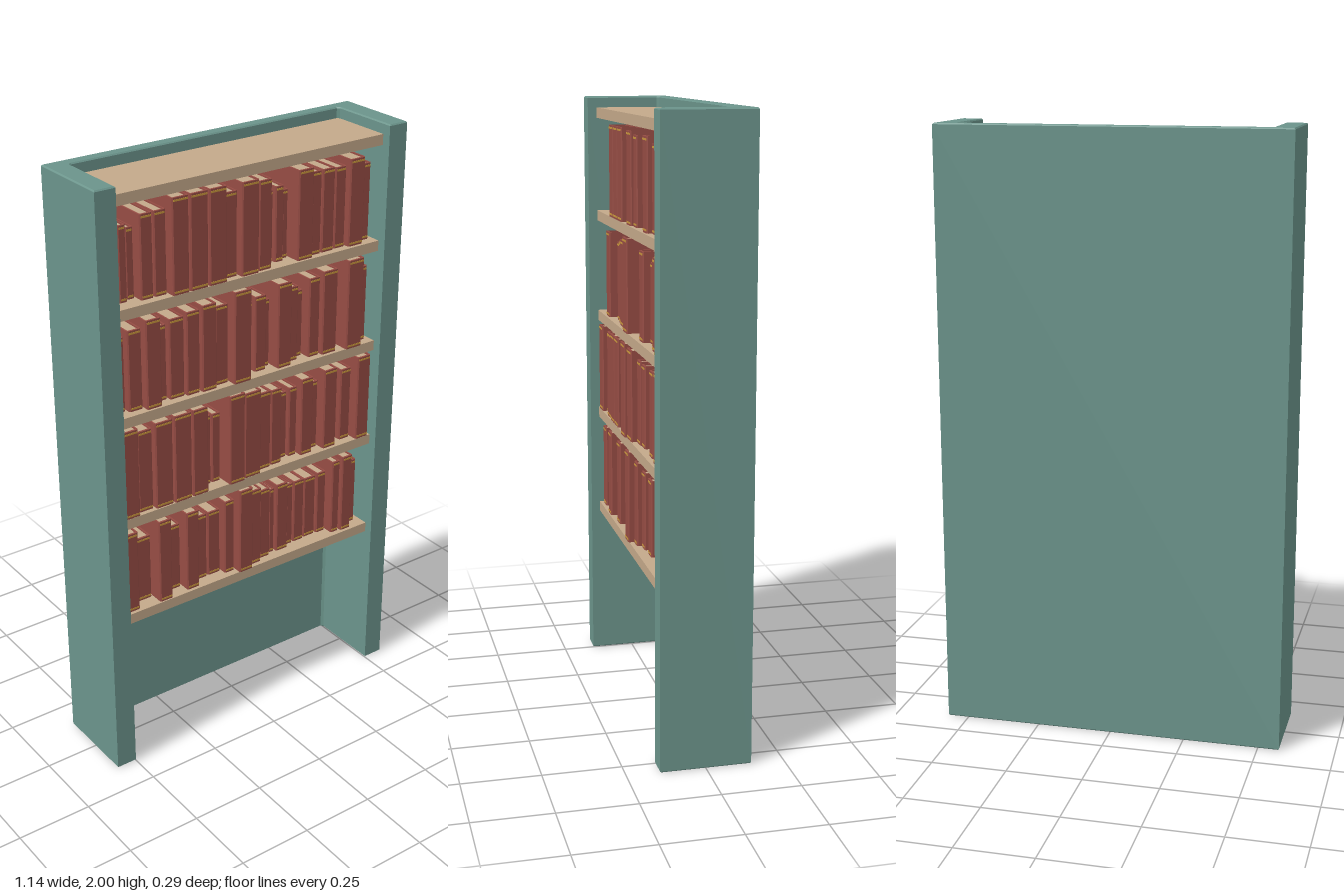
import * as THREE from 'three';

const paint = (color) => new THREE.MeshStandardMaterial({ color, flatShading: true });
const green = paint(0x6b948b), tan = paint(0xc4a98a), red = paint(0x964c44), gold = paint(0xc8963c);

// Upright U-shaped channel, closed at -z and open towards +z
function channel(w, d, h, side, closed, inner, outer, bevel) {
  const x = w / 2 - bevel, z = d / 2 - bevel, xi = w / 2 - side + bevel, zi = d / 2 - closed + bevel;
  const shape = new THREE.Shape([
    [-x, -z], [-xi, -z], [-xi, zi - inner], [-xi + inner, zi], [xi - inner, zi], [xi, zi - inner],
    [xi, -z], [x, -z], [x, z - outer], [x - outer, z], [-x + outer, z], [-x, z - outer],
  ].map(([a, b]) => new THREE.Vector2(a, b)));
  const geo = new THREE.ExtrudeGeometry(shape, {
    depth: h - 2 * bevel, bevelEnabled: bevel > 0, bevelSize: bevel, bevelThickness: bevel, bevelSegments: 1,
  });
  return geo.translate(0, 0, bevel).rotateX(-Math.PI / 2);
}

function add(parent, name, geo, material, x = 0, y = 0, z = 0) {
  const mesh = new THREE.Mesh(geo, material);
  mesh.name = name;
  mesh.position.set(x, y, z);
  parent.add(mesh);
  return mesh;
}

// Book standing with its spine to the front: cover, page block and two gilt bands
function makeBook(w, h) {
  const book = new THREE.Group(), d = h * 0.71, t = Math.min(0.005, w * 0.15);
  book.name = 'book';
  add(book, 'cover', channel(w, d, h, t, 0.007, 0, 0.004, 0), red).rotation.y = Math.PI;
  add(book, 'pages', new THREE.BoxGeometry(w - 2 * t, h - 0.01, d - 0.012), tan, 0, h / 2, -0.001);
  for (const y of [0.009, h - 0.009]) {
    add(book, 'spineBand', new THREE.BoxGeometry(w - 0.008, 0.006, 0.002), gold, 0, y, d / 2);
  }
  return book;
}

// Book widths and heights per shelf, bottom to top, in steps of 0.0053
const UNIT = 0.0053;
const row1 = {
  start: -0.485,
  widths: [10, 13, 10, 11, 10, 10, 10, 8, 11, 9, 9, 5, 10, 6, 9, 10, 8, 7, 9, 8],
  heights: [54, 44, 56, 45, 54, 45, 45, 51, 58, 53, 49, 46, 48, 44, 44, 43, 44, 52, 54, 46],
};
const row2 = {
  start: -0.49,
  widths: [12, 11, 13, 13, 12, 7, 7, 12, 13, 10, 9, 7, 7, 10, 7, 11, 5, 9, 11],
  heights: [57, 53, 56, 57, 57, 46, 46, 59, 57, 52, 51, 45, 47, 52, 46, 54, 43, 49, 57],
};
const row3 = {
  start: -0.48,
  widths: [7, 10, 11, 7, 11, 10, 11, 10, 13, 7, 9, 5, 11, 8, 6, 9, 12, 5, 13, 8],
  heights: [46, 50, 55, 47, 50, 52, 54, 50, 58, 45, 48, 43, 54, 48, 43, 51, 54, 43, 58, 49],
};
const row4 = {
  start: -0.49,
  widths: [7, 6, 6, 9, 9, 12, 13, 13, 10, 13, 10, 6, 7, 5, 12, 8, 10, 9, 12, 8],
  heights: [46, 45, 42, 50, 50, 57, 57, 57, 51, 56, 54, 44, 46, 42, 55, 51, 51, 50, 54, 48],
};

export function createModel() {
  const model = new THREE.Group();
  model.name = 'bookcase';

  // Back and side walls in one piece
  add(model, 'caseWalls', channel(1.14, 0.29, 2, 0.07, 0.04, 0.01, 0, 0.004), green);

  // Shelves, the top one closing the case
  const shelfTop = (i) => 0.56 + i * 0.351;
  const board = new THREE.Shape([
    [-0.5, -0.115], [0.5, -0.115], [0.5, 0.097], [0.492, 0.105], [-0.492, 0.105], [-0.5, 0.097],
  ].map(([x, y]) => new THREE.Vector2(x, y)));
  const shelfGeo = new THREE.ExtrudeGeometry(board, { depth: 0.035, bevelEnabled: false }).rotateX(-Math.PI / 2);
  for (let i = 0; i < 5; i++) add(model, 'shelf', shelfGeo, tan, 0, shelfTop(i) - 0.035, 0);

  // Books pushed against the back wall
  [row1, row2, row3, row4].forEach(({ start, widths, heights }, i) => {
    const row = new THREE.Group();
    row.name = 'bookRow';
    let x = start;
    widths.forEach((steps, k) => {
      const w = steps * UNIT, h = heights[k] * UNIT;
      const book = makeBook(w - 0.005, h);
      book.position.set(x + w / 2 - 0.0025, shelfTop(i), -0.1 + h * 0.355);
      row.add(book);
      x += w;
    });
    model.add(row);
  });
  return model;
}
